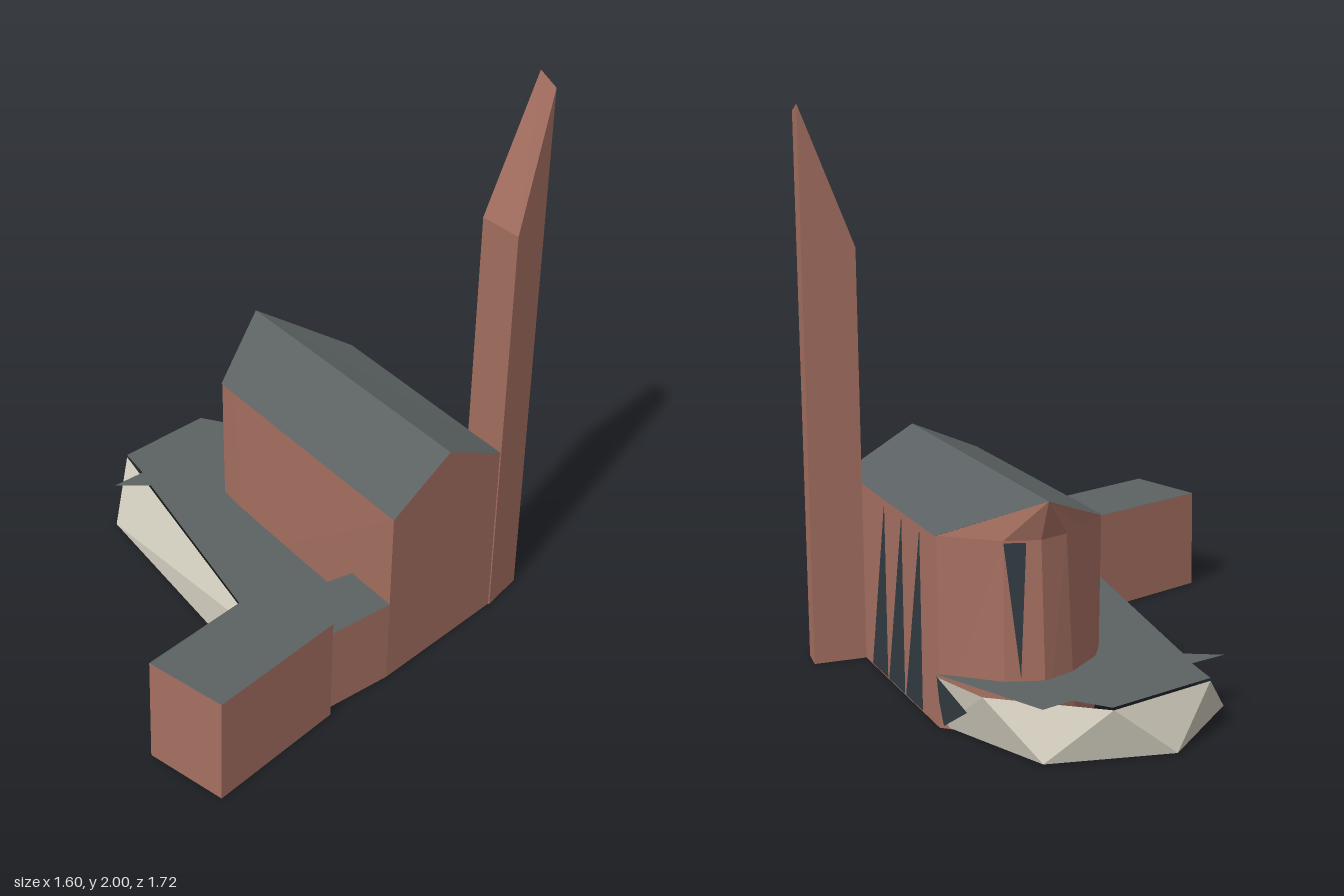
import * as THREE from 'three';

const mat = (name, color, side = THREE.FrontSide) => {
  const m = new THREE.MeshStandardMaterial({ color, side });
  m.name = name;
  return m;
};

export function createModel() {
  const brick = mat('brick', 0xa67061);
  const slate = mat('slate', 0x5c6263, THREE.DoubleSide);
  const plaster = mat('plaster', 0xcfcabb);
  const glass = mat('dark glass', 0x323c42, THREE.DoubleSide);
  const model = new THREE.Group();
  model.name = 'church';

  // Flat-shaded mesh from a list of [x, y, z] triangles
  const addFaces = (name, tris, material) => {
    const g = new THREE.BufferGeometry();
    g.setAttribute('position', new THREE.Float32BufferAttribute(tris.flat(2), 3));
    g.computeVertexNormals();
    const mesh = new THREE.Mesh(g, material);
    mesh.name = name;
    model.add(mesh);
  };
  const at = (ring, y) => ring.map(([x, z]) => [x, y, z]);
  const quad = (a, b, c, d) => [[a, b, c], [a, c, d]];
  const cap = (ring) => THREE.ShapeUtils
    .triangulateShape(ring.map(([x, , z]) => new THREE.Vector2(x, -z)), [])
    .map((f) => f.map((i) => ring[i]));
  const flip = (tris) => tris.map(([a, b, c]) => [a, c, b]);
  // Side walls between two rings, counter-clockwise from above
  const sides = (bot, top) => bot.flatMap((b, i) => {
    const j = (i + 1) % bot.length;
    return quad(b, bot[j], top[j], top[i]);
  });
  const block = (name, bot, top, material, topMaterial) => {
    addFaces(name, [...sides(bot, top), ...flip(cap(bot))], material);
    if (topMaterial) addFaces(name + 'Top', cap(top), topMaterial);
  };

  // Nave with a rounded, slightly tapering apse
  const eave = 0.655, ridgeY = 0.79;
  const navePlan = [[0.785, 0], [0.785, -0.6], [-0.12, -0.855], [-0.32, -0.74], [-0.4, -0.63],
    [-0.39, -0.5], [-0.34, -0.38], [-0.25, -0.28], [-0.1, -0.23]];
  const naveHead = at([[0.785, 0], [0.785, -0.6], [-0.12, -0.855], [-0.31, -0.73], [-0.38, -0.63],
    [-0.375, -0.52], [-0.33, -0.42], [-0.28, -0.29], [-0.2, -0.265]], eave);
  block('naveWalls', at(navePlan, 0), naveHead, brick);

  // Gables: plain end wall and apse fan up to the ridge
  const ridgeA = [0.785, ridgeY, -0.3], ridgeB = [-0.42, ridgeY, -0.63];
  const gables = [[naveHead[0], naveHead[1], ridgeA]];
  for (let i = 2; i < 7; i++) gables.push([naveHead[i], naveHead[i + 1], ridgeB]);
  addFaces('gables', gables, brick);

  // Pitched nave roof
  addFaces('naveRoof', [
    ...quad([0.785, eave, 0], ridgeA, ridgeB, [-0.28, eave, -0.285]),
    ...quad([0.79, eave, -0.6], [-0.12, eave, -0.862], ridgeB, ridgeA),
  ], slate);

  // Bell tower with a slanted top
  const towerPlan = [[0.79, -0.6], [0.765, -0.79], [0.672, -0.83], [0.607, -0.65]];
  const towerHeights = [1.5, 1.97, 2, 1.5];
  block('tower', at(towerPlan, 0), towerPlan.map(([x, z], i) => [x, towerHeights[i], z]), brick, brick);

  // Low link and the annex in front of it
  const linkPlan = [[0.47, 0.3], [0.745, 0.3], [0.785, 0], [0.57, -0.06]];
  block('link', at(linkPlan, 0), at(linkPlan, 0.31), brick, slate);
  const annexPlan = [[0.48, 0.86], [0.797, 0.855], [0.777, 0.292], [0.463, 0.3]];
  block('annex', at(annexPlan, 0), at(annexPlan, 0.38), brick, slate);

  // Faceted low hall wrapped around the apse
  const hallBase = at([[0.57, -0.06], [-0.12, -0.84], [-0.59, -0.8], [-0.8, -0.42], [-0.6, -0.02],
    [0.47, 0.32]], 0.004);
  const hallHead = at([[0.57, -0.06], [-0.12, -0.86], [-0.36, -0.86], [-0.72, -0.62], [-0.73, -0.21],
    [0.47, 0.3]], 0.175);
  block('lowHallWalls', hallBase, hallHead, plaster);
  addFaces('lowHallRoof', cap(at([[0.57, -0.06], [-0.12, -0.86], [-0.59, -0.8], [-0.59, -0.68],
    [-0.72, -0.625], [-0.73, -0.21], [-0.59, -0.16], [-0.6, -0.02], [-0.5, -0.115], [0.47, 0.3]], 0.185)), slate);

  // Tall triangular windows along the back wall
  const wallZ = (x) => -0.606 - (0.785 - x) * (0.255 / 0.905);
  const windows = [0.36, 0.19, 0.02].map((x) => [
    [x + 0.16, 0.01, wallZ(x + 0.16)], [x, 0.01, wallZ(x)], [x, eave - 0.01, wallZ(x)],
  ]);
  // Apse window and the glazed corner of the low hall
  windows.push([[-0.318, 0.65, -0.736], [-0.36, 0.2, -0.702], [-0.36, 0.65, -0.676]]);
  windows.push([[-0.12, 0, -0.846], [-0.28, 0.1, -0.862], [-0.12, 0.18, -0.864]]);
  addFaces('windows', windows, glass);

  return model;
}
